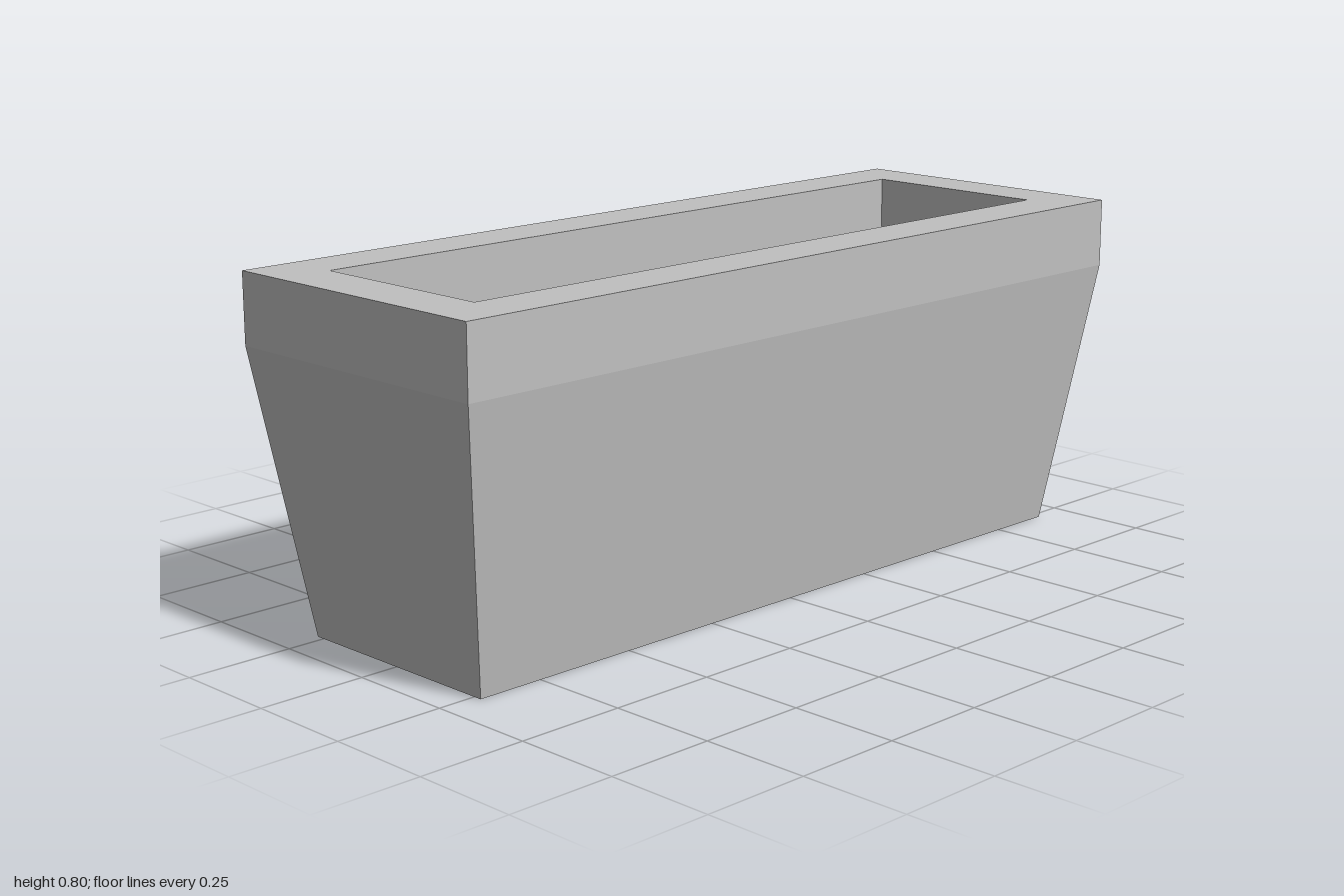
import * as THREE from 'three';

// Flat-sided rectangular skin through sections [halfX, y, halfZ], listed so that faces point outwards
function skin(name, sections, material) {
  const positions = [];
  const corner = ([x, y, z], i) => {
    const [sx, sz] = [[1, 1], [1, -1], [-1, -1], [-1, 1]][i % 4];
    return [x * sx, y, z * sz];
  };
  for (let s = 0; s < sections.length - 1; s++) {
    for (let i = 0; i < 4; i++) {
      const a = corner(sections[s], i), b = corner(sections[s], i + 1);
      const c = corner(sections[s + 1], i + 1), d = corner(sections[s + 1], i);
      positions.push(...a, ...b, ...c, ...a, ...c, ...d);
    }
  }
  const geometry = new THREE.BufferGeometry();
  geometry.setAttribute('position', new THREE.Float32BufferAttribute(positions, 3));
  geometry.computeVertexNormals();
  const mesh = new THREE.Mesh(geometry, material);
  mesh.name = name;
  return mesh;
}

export function createModel() {
  const group = new THREE.Group();
  group.name = 'planter';
  const concrete = new THREE.MeshStandardMaterial({ color: 0xc0c0c0, side: THREE.DoubleSide });
  concrete.name = 'concrete grey';

  const floorY = 0.665;
  const base = [0.27, 0, 0.91], shoulder = [0.361, 0.64, 1], lip = [0.361, 0.8, 1];
  const opening = [0.232, 0.8, 0.872], well = [0.232, floorY, 0.872];

  // Tapered walls, open underneath
  group.add(skin('taperedWalls', [base, shoulder], concrete));
  // Upright band and flat top rim
  group.add(skin('rim', [shoulder, lip, opening], concrete));
  // Sunken trough inside the rim
  group.add(skin('troughWalls', [opening, well], concrete));
  const floor = new THREE.Mesh(new THREE.PlaneGeometry(0.464, 1.744).rotateX(-Math.PI / 2), concrete);
  floor.name = 'troughFloor';
  floor.position.y = floorY;
  group.add(floor);
  return group;
}
